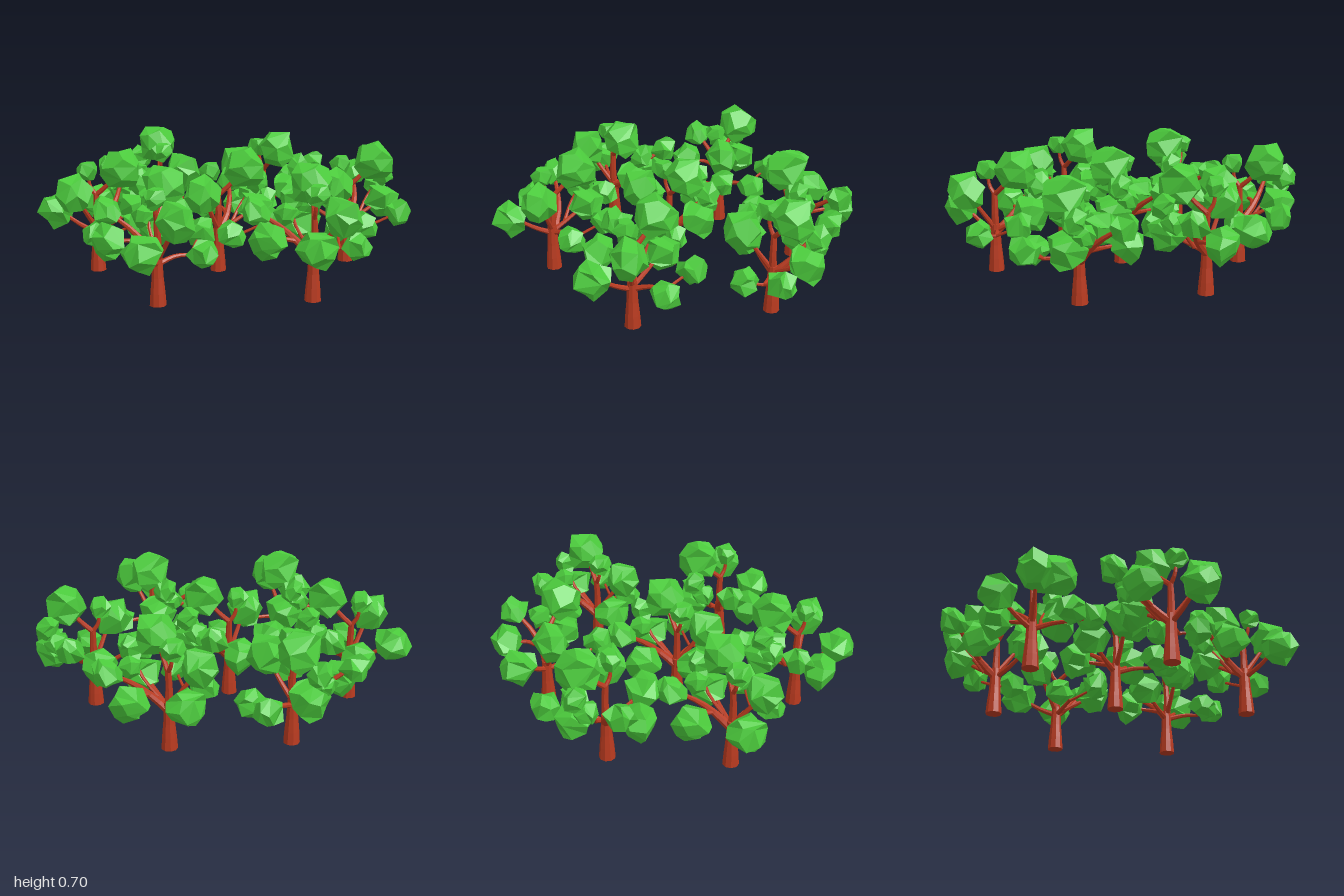
import * as THREE from 'three';
import { mergeVertices } from 'three/addons/utils/BufferGeometryUtils.js';

const bark = new THREE.MeshStandardMaterial({ color: 0xb83a1f, flatShading: true });
const leaf = new THREE.MeshStandardMaterial({ color: 0x4bca3c, flatShading: true });

function seeded(seed) {
  return () => {
    seed = (seed * 16807) % 2147483647;
    return seed / 2147483647;
  };
}

// Irregular faceted ball of leaves
function leafGeometry(radius, seed) {
  const rand = seeded(seed);
  let geo = new THREE.DodecahedronGeometry(1, 0);
  geo.deleteAttribute('normal');
  geo.deleteAttribute('uv');
  geo = mergeVertices(geo, 1e-3);
  const p = geo.attributes.position;
  const v = new THREE.Vector3();
  for (let i = 0; i < p.count; i++) {
    v.fromBufferAttribute(p, i);
    v.x += (rand() - 0.5) * 0.34;
    v.y += (rand() - 0.5) * 0.34;
    v.z += (rand() - 0.5) * 0.34;
    v.multiplyScalar(radius * 1.03);
    p.setXYZ(i, v.x, v.y, v.z);
  }
  geo.rotateY(rand() * 6).rotateX(rand() * 6);
  geo = geo.toNonIndexed();
  geo.computeVertexNormals();
  return geo;
}

// Tapered tube along a smooth path
function limbGeometry(points, r0, r1) {
  const curve = new THREE.CatmullRomCurve3(points.map((a) => new THREE.Vector3(...a)));
  const segments = 6, sides = 7;
  const geo = new THREE.TubeGeometry(curve, segments, 1, sides, false);
  const p = geo.attributes.position;
  const v = new THREE.Vector3();
  for (let i = 0; i < p.count; i++) {
    const t = Math.floor(i / (sides + 1)) / segments;
    const c = curve.getPointAt(t);
    v.fromBufferAttribute(p, i).sub(c).multiplyScalar(r0 + (r1 - r0) * t).add(c);
    p.setXYZ(i, v.x, v.y, v.z);
  }
  geo.computeVertexNormals();
  return geo;
}

function add(group, geometry, material, name) {
  const mesh = new THREE.Mesh(geometry, material);
  mesh.name = name;
  group.add(mesh);
  return mesh;
}

function createTree() {
  const tree = new THREE.Group();

  // Flared trunk, closed at the foot
  const profile = [[0, 0], [0.045, 0], [0.04, 0.07], [0.032, 0.15], [0.029, 0.21], [0.026, 0.27], [0, 0.28]];
  add(tree, new THREE.LatheGeometry(profile.map(([x, y]) => new THREE.Vector2(x, y)), 9), bark, 'trunk');

  // Branches: path, start radius, end radius
  const limbs = [
    [[[0, 0.22, 0], [0.005, 0.34, 0], [0, 0.45, 0]], 0.024, 0.016],
    [[[0, 0.44, 0], [0.03, 0.5, -0.06], [0.06, 0.59, -0.13]], 0.015, 0.01],
    [[[0, 0.44, 0], [-0.01, 0.49, 0.03], [-0.01, 0.57, 0.04]], 0.013, 0.008],
    [[[0, 0.22, 0], [-0.04, 0.29, -0.07], [-0.11, 0.37, -0.13], [-0.23, 0.46, -0.19]], 0.024, 0.009],
    [[[-0.06, 0.31, -0.085], [-0.14, 0.33, -0.09], [-0.22, 0.335, -0.05]], 0.014, 0.008],
    [[[0, 0.22, 0], [0.1, 0.25, -0.03], [0.19, 0.25, -0.04]], 0.016, 0.009],
    [[[0.18, 0.25, -0.04], [0.21, 0.28, -0.1], [0.25, 0.32, -0.17]], 0.009, 0.007],
    [[[0.18, 0.25, -0.04], [0.21, 0.26, 0], [0.24, 0.28, 0.03]], 0.009, 0.007],
    [[[0, 0.22, 0], [-0.04, 0.26, 0.08], [-0.09, 0.33, 0.18]], 0.016, 0.009],
    [[[0, 0.24, 0], [0.04, 0.34, 0.06], [0.08, 0.46, 0.13]], 0.016, 0.009],
    [[[0, 0.23, 0], [0.02, 0.28, -0.09], [0.04, 0.34, -0.19]], 0.015, 0.009],
    [[[0.015, 0.26, -0.07], [-0.02, 0.37, -0.16], [0, 0.49, -0.25]], 0.011, 0.007],
  ];
  limbs.forEach(([path, r0, r1]) => add(tree, limbGeometry(path, r0, r1), bark, 'branch'));

  // Leaf clumps: x, y, z, radius
  const clumps = [
    [0.06, 0.596, -0.135, 0.115],
    [-0.01, 0.58, 0.04, 0.063],
    [-0.24, 0.465, -0.2, 0.077],
    [-0.24, 0.335, -0.045, 0.094],
    [0.26, 0.325, -0.18, 0.077],
    [0.24, 0.28, 0.04, 0.08],
    [-0.1, 0.345, 0.205, 0.1],
    [0.08, 0.475, 0.14, 0.102],
    [0.04, 0.35, -0.21, 0.1],
    [0, 0.5, -0.25, 0.068],
    [-0.04, 0.42, -0.22, 0.065],
  ];
  clumps.forEach(([x, y, z, r], i) => {
    add(tree, leafGeometry(r, 1234 + i * 7919), leaf, 'leafClump').position.set(x, y, z);
  });
  return tree;
}

export function createModel() {
  const grove = new THREE.Group();
  grove.name = 'grove';

  // Tree spots: x, z, turn in degrees
  const spots = [
    [0.14, 0.687, 0],
    [-0.16, -0.682, -7],
    [-0.62, 0.4, 15],
    [-0.083, -0.007, 88],
    [0.673, 0.147, 88],
    [-0.7, -0.31, 99],
    [0.462, -0.5, 151],
  ];
  const source = createTree();
  for (const [x, z, turn] of spots) {
    const tree = source.clone();
    tree.name = 'tree';
    tree.position.set(x, 0, z);
    tree.rotation.y = -THREE.MathUtils.degToRad(turn);
    grove.add(tree);
  }
  return grove;
}
